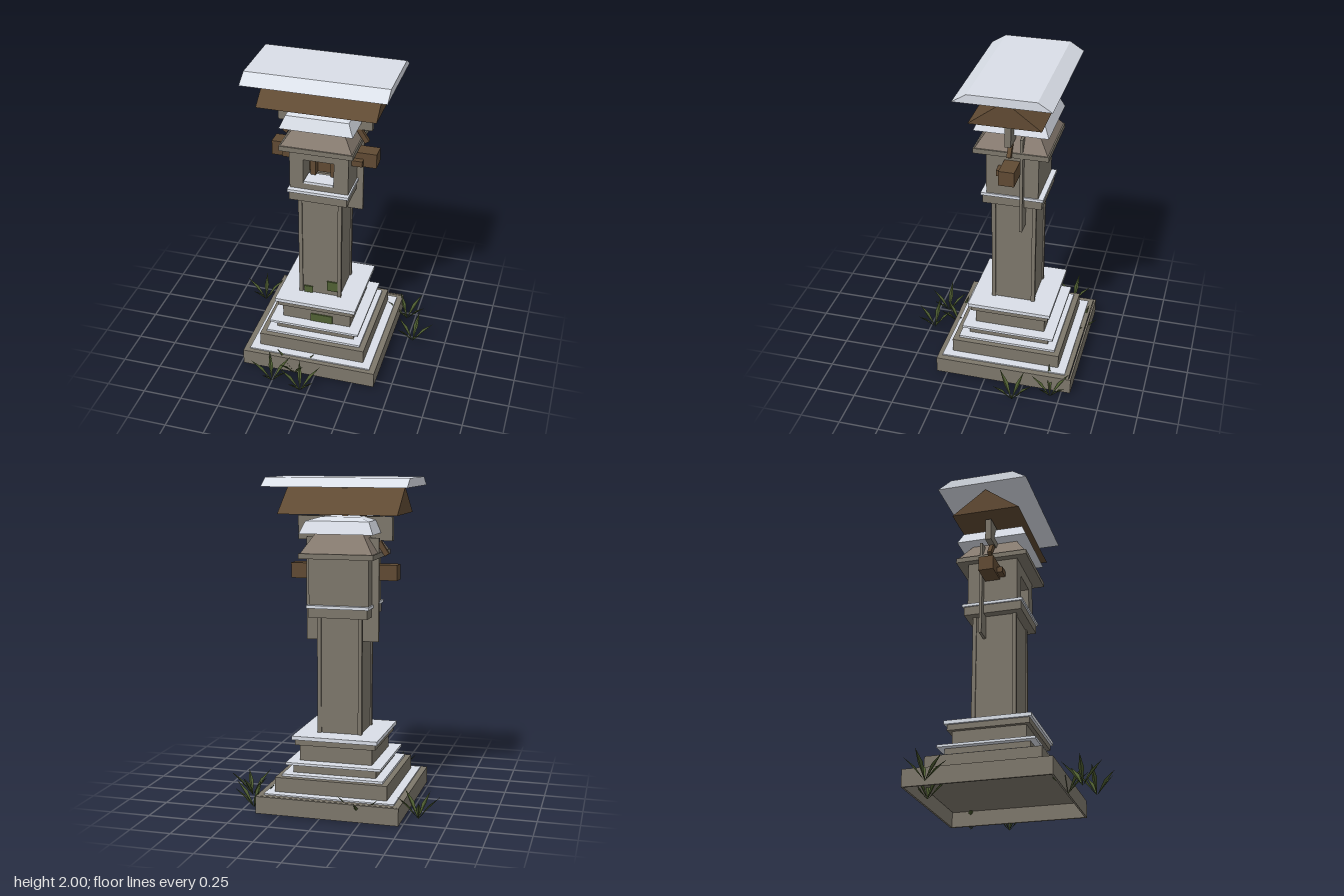
import * as THREE from 'three';

const mat = (name, color, side = THREE.FrontSide) => {
  const m = new THREE.MeshStandardMaterial({ color, flatShading: true, side });
  m.name = name;
  return m;
};

export function createModel() {
  const root = new THREE.Group();
  root.name = 'stoneShrine';
  const stone = mat('stone', 0x7d776b);
  const tile = mat('roofStone', 0x877b70);
  const wood = mat('wood', 0x604a33);
  const snow = mat('snow', 0xe0e5ee);
  const moss = mat('moss', 0x4f6033);
  const leaf = mat('leaf', 0x4c5b30, THREE.DoubleSide);
  const CX = -0.044, CZ = -0.112;

  const add = (name, geo, material, parent = root) => {
    const m = new THREE.Mesh(geo, material);
    m.name = name;
    parent.add(m);
    return m;
  };
  // box given by its limits on each axis
  const box = (name, material, x0, x1, y0, y1, z0, z1) => {
    const m = add(name, new THREE.BoxGeometry(x1 - x0, y1 - y0, z1 - z0), material);
    m.position.set((x0 + x1) / 2, (y0 + y1) / 2, (z0 + z1) / 2);
    return m;
  };
  // box centred on the shrine axis
  const slab = (name, material, w, y0, y1, d = w) =>
    box(name, material, CX - w / 2, CX + w / 2, y0, y1, CZ - d / 2, CZ + d / 2);
  // square solid from [width, y] rings
  const hipped = (name, material, rings) => {
    const pts = rings.map(([w, y]) => new THREE.Vector2(w * Math.SQRT1_2, y));
    add(name, new THREE.LatheGeometry(pts, 4, Math.PI / 4), material).position.set(CX, 0, CZ);
  };
  // prism running along x, outline in [z, y]
  const prism = (name, material, outline, x0, x1) => {
    const s = new THREE.Shape(outline.map(([z, y]) => new THREE.Vector2(-z, y)));
    const g = new THREE.ExtrudeGeometry(s, { depth: x1 - x0, bevelEnabled: false });
    g.rotateY(Math.PI / 2);
    add(name, g, material).position.x = x0;
  };

  // hollow foundation, open below
  const B = 0.875, T = 0.012;
  for (const s of [-1, 1]) {
    const x = CX + s * (B - T) / 2, z = CZ - 0.008 + s * (B - T) / 2;
    box('foundationSide', stone, x - T / 2, x + T / 2, 0.01, 0.115, CZ - 0.008 - B / 2, CZ - 0.008 + B / 2);
    box('foundationSide', stone, CX - B / 2, CX + B / 2, 0.01, 0.115, z - T / 2, z + T / 2);
  }
  slab('foundationTop', stone, B - 0.016, 0.105, 0.115);

  // stepped plinth with snow on each ledge
  [
    ['plinthSnow', snow, 0.8, 0.115, 0.123],
    ['plinthStep', stone, 0.693, 0.115, 0.212],
    ['plinthSnow', snow, 0.624, 0.212, 0.226],
    ['plinthStep', stone, 0.515, 0.226, 0.28],
    ['plinthSnow', snow, 0.59, 0.28, 0.295],
    ['plinthStep', stone, 0.45, 0.295, 0.395],
    ['plinthStep', stone, 0.5, 0.395, 0.43],
    ['plinthSnow', snow, 0.53, 0.43, 0.453],
  ].forEach((s) => slab(...s));

  // column with corner posts
  slab('column', stone, 0.26, 0.45, 1.17);
  for (const sx of [-1, 1]) for (const sz of [-1, 1]) {
    const x = CX + sx * 0.127, z = CZ + sz * 0.127;
    box('cornerPost', stone, x - 0.012, x + 0.012, 0.45, 1.17, z - 0.012, z + 0.012);
  }
  slab('collar', stone, 0.365, 1.17, 1.226);
  slab('collarSnow', snow, 0.385, 1.226, 1.244);

  // lamp house: solid rear, front wall with a window opening
  box('houseRear', stone, CX - 0.184, CX + 0.184, 1.244, 1.525, -0.272, -0.1);
  const wall = new THREE.Shape();
  wall.moveTo(CX - 0.184, 1.244).lineTo(CX + 0.184, 1.244).lineTo(CX + 0.184, 1.525).lineTo(CX - 0.184, 1.525);
  const hole = new THREE.Path();
  hole.moveTo(-0.142, 1.285).lineTo(-0.142, 1.445).lineTo(0.05, 1.445).lineTo(0.05, 1.285);
  wall.holes.push(hole);
  add('houseFront', new THREE.ExtrudeGeometry(wall, { depth: 0.147, bevelEnabled: false }), stone).position.z = -0.1;
  box('windowSill', snow, -0.138, 0.046, 1.285, 1.3, -0.06, 0.052);
  box('windowBack', wood, -0.142, 0.05, 1.3, 1.445, -0.1, -0.09);
  for (const x of [-0.105, 0.02]) box('windowPost', wood, x - 0.016, x + 0.016, 1.3, 1.41, -0.09, -0.04);

  // cross beams through the house
  box('crossBeam', wood, -0.375, 0.285, 1.39, 1.483, -0.16, -0.065);
  box('smallBeam', wood, -0.295, 0.205, 1.405, 1.442, -0.065, -0.03);

  // upright plates crossing the house
  box('backPlate', stone, -0.27, 0.18, 1.02, 1.645, -0.185, -0.168);
  box('upperPlate', stone, -0.338, 0.248, 1.625, 1.768, -0.13, -0.092);

  // lower roof and its snow cap
  slab('eave', stone, 0.455, 1.525, 1.556);
  hipped('lowerRoof', tile, [[0, 1.555], [0.44, 1.555], [0.28, 1.68], [0.2, 1.735], [0, 1.735]]);
  hipped('snowCap', snow, [[0, 1.672], [0.45, 1.672], [0.385, 1.747], [0.235, 1.769], [0, 1.769]]);

  // sloping braces and ridge post
  for (const s of [-1, 1]) {
    const m = add('brace', new THREE.BoxGeometry(0.03, 0.3, 0.025), wood);
    m.position.set(CX + s * 0.178, 1.665, -0.111);
    m.rotation.z = s * 0.57;
  }
  box('ridgePost', wood, CX - 0.016, CX + 0.016, 1.55, 1.948, -0.127, -0.095);

  // upper gabled roof and snow slab
  prism('gableRoof', wood, [[0.105, 1.785], [-0.325, 1.785], [-0.111, 1.945]], -0.41, 0.317);
  prism('roofSnow', snow, [[0.173, 1.947], [-0.4, 1.947], [-0.315, 2], [0.087, 2]], -0.482, 0.392);

  // moss patches
  box('moss', moss, 0.003, 0.072, 0.49, 0.56, 0.02, 0.029);
  box('moss', moss, -0.15, -0.092, 0.453, 0.5, 0.02, 0.029);
  box('moss', moss, -0.08, 0.064, 0.298, 0.354, 0.113, 0.121);

  // leafy tufts: five folded blades each
  const blade = new THREE.BufferGeometry();
  blade.setAttribute('position', new THREE.Float32BufferAttribute([
    0, 0, 0, 0.06, 0.085, 0.015, 0.066, 0.076, 0,
    0.066, 0.076, 0, 0.06, 0.085, 0.015, 0.13, 0.145, 0,
    0, 0, 0, 0.066, 0.076, 0, 0.06, 0.085, -0.015,
    0.066, 0.076, 0, 0.13, 0.145, 0, 0.06, 0.085, -0.015,
  ], 3));
  blade.computeVertexNormals();
  [
    [-0.565, -0.385, 42], [0.445, -0.44, 20], [0.535, -0.215, -12], [-0.25, 0.43, 30],
    [-0.05, 0.47, 36], [-0.13, 0.32, 50], [-0.23, -0.49, 55],
  ].forEach(([x, z, deg]) => {
    const tuft = new THREE.Group();
    tuft.name = 'tuft';
    tuft.position.set(x, 0.005, z);
    root.add(tuft);
    for (let i = 0; i < 5; i++) {
      const m = add('blade', blade, leaf, tuft);
      m.rotation.y = -THREE.MathUtils.degToRad(deg + i * 72);
      m.scale.setScalar(i % 2 ? 0.95 : 1.03);
    }
  });
  return root;
}
